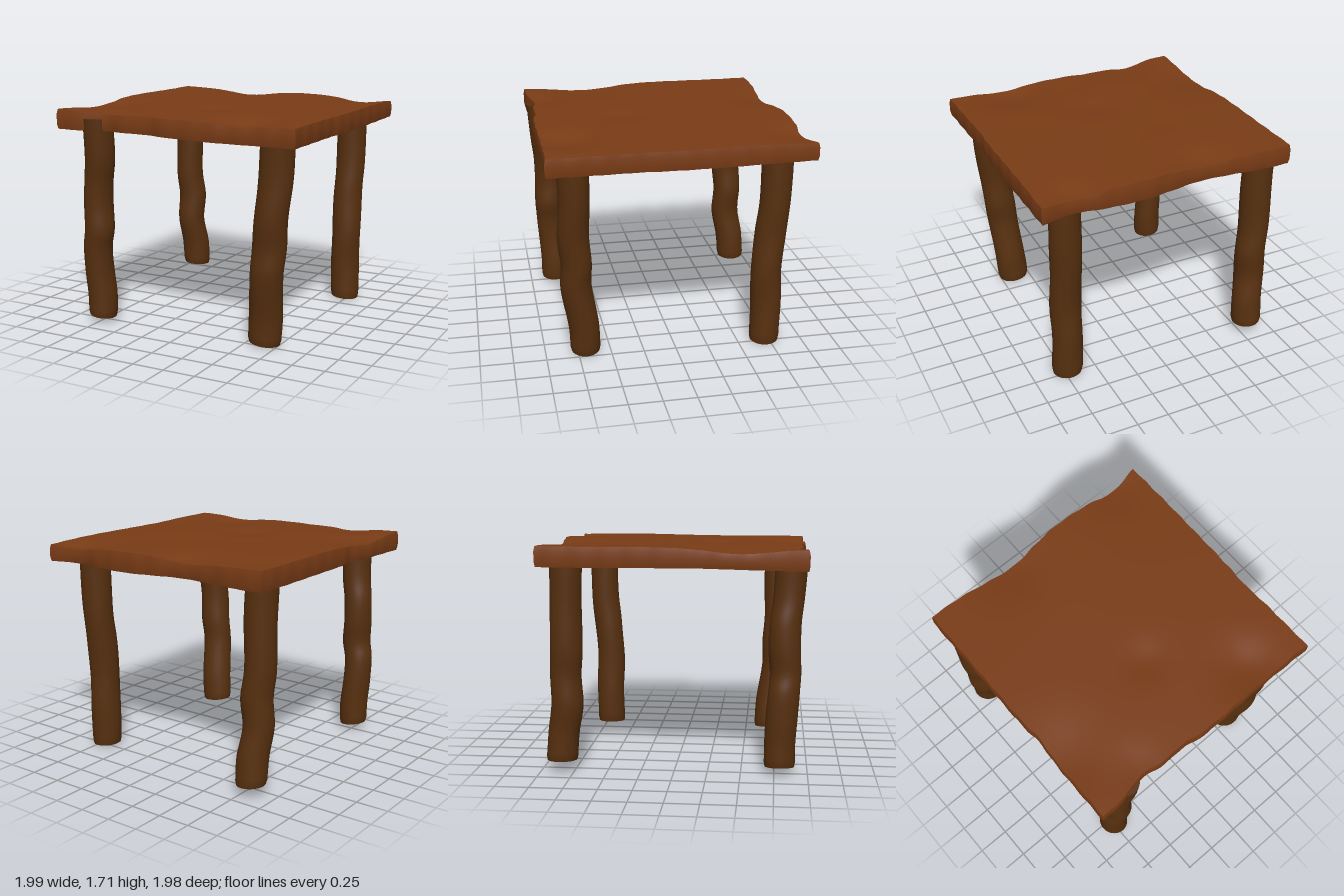
import * as THREE from 'three';
import { toCreasedNormals } from 'three/addons/utils/BufferGeometryUtils.js';

const topMaterial = new THREE.MeshStandardMaterial({ color: 0x7a3c16 });
const legMaterial = new THREE.MeshStandardMaterial({ color: 0x57300f });

// Smooth interpolation through [position, value] pairs
function profile(points) {
  const curve = new THREE.SplineCurve(points.map(([a, b]) => new THREE.Vector2(a, b)));
  const samples = curve.getPoints(120);
  return (a) => {
    const i = Math.max(1, samples.findIndex((p) => p.x >= a - 1e-6));
    const p = samples[i - 1], q = samples[i];
    return THREE.MathUtils.mapLinear(a, p.x, q.x, p.y, q.y);
  };
}

const bump = (x, z, cx, cz, w) => Math.exp(-((x - cx) ** 2 + (z - cz) ** 2) / (w * w));

// Hand-hewn slab: a fine box whose sides follow wavy outlines
function createTop() {
  const front = profile([[-1, 0.985], [-0.8, 0.975], [-0.6, 0.93], [-0.4, 0.955], [-0.2, 0.95],
    [-0.08, 0.975], [0.2, 0.98], [0.5, 0.972], [1, 0.98]]);
  const back = profile([[-1, 0.99], [-0.75, 0.985], [-0.5, 0.96], [-0.25, 0.945], [0, 0.972],
    [0.2, 0.99], [0.5, 0.98], [0.75, 0.952], [1, 0.998]]);
  const left = profile([[-1, 0.995], [0, 0.993], [0.25, 0.975], [0.5, 0.99], [1, 0.992]]);
  const right = profile([[-1, 0.99], [0, 0.99], [0.3, 0.98], [0.6, 0.99], [1, 0.995]]);
  const geo = new THREE.BoxGeometry(2, 2, 2, 56, 4, 56);
  const pos = geo.attributes.position;
  for (let i = 0; i < pos.count; i++) {
    const x = pos.getX(i), h = pos.getY(i), z = pos.getZ(i);
    const under = 1.541 - 0.014 * x - 0.008 * z + 0.004 * Math.sin(5 * x + 3 * z);
    const over = 1.686 - 0.016 * x - 0.01 * z
      + 0.005 * Math.sin(4 * x + 2 * z) * Math.cos(3 * z)
      - 0.045 * bump(x, z, 0.55, 0.85, 0.22)
      - 0.035 * bump(x, z, -0.3, -1, 0.25)
      - 0.03 * bump(x, z, 0.75, -1, 0.2)
      - 0.035 * bump(x, z, -0.95, 0.5, 0.3)
      - 0.02 * bump(x, z, 0, 0.3, 0.15)
      - 0.02 * bump(x, z, -0.6, 0.95, 0.2);
    // Slight rounding of the rims and ragged edges
    const rim = Math.abs(h) > 0.9 ? 0.993 : 1;
    const rough = 1 - 0.003 * (1 + Math.sin(31 * (x + z)));
    pos.setXYZ(i,
      x * (x > 0 ? right(z) : left(z)) * rim * rough,
      THREE.MathUtils.lerp(under, over, (h + 1) / 2),
      z * (z > 0 ? front(x) : back(x)) * rim * rough);
  }
  const mesh = new THREE.Mesh(toCreasedNormals(geo, 0.8), topMaterial);
  mesh.name = 'tableTop';
  return mesh;
}

// Crooked log following a path of [x, y, z] centres from foot to top
function createLeg(name, path, rx, rz, tilt) {
  const curve = new THREE.CatmullRomCurve3(path.map((p) => new THREE.Vector3(...p)));
  const geo = new THREE.CylinderGeometry(1, 1, 1, 28, 40);
  const pos = geo.attributes.position;
  const c = new THREE.Vector3();
  for (let i = 0; i < pos.count; i++) {
    const t = THREE.MathUtils.clamp(pos.getY(i) + 0.5, 0, 1);
    const x = pos.getX(i), z = pos.getZ(i);
    curve.getPoint(t, c);
    const scale = (t < 0.01 ? 0.94 : 1) * (1 + 0.015 * Math.sin(17 * t + 2 * Math.atan2(z, x)));
    pos.setXYZ(i, c.x + x * rx * scale, c.y - tilt * x * (1 - t), c.z + z * rz * scale);
  }
  const mesh = new THREE.Mesh(toCreasedNormals(geo, 0.9), legMaterial);
  mesh.name = name;
  return mesh;
}

export function createModel() {
  const table = new THREE.Group();
  table.name = 'rusticTable';
  table.add(createTop());
  table.add(createLeg('frontLeftLeg', [
    [0.635, 0.015, 0.69], [0.65, 0.22, 0.70], [0.68, 0.57, 0.755], [0.698, 0.75, 0.75],
    [0.718, 0.97, 0.77], [0.75, 1.26, 0.76], [0.77, 1.6, 0.77]], 0.126, 0.117, 0.012));
  table.add(createLeg('frontRightLeg', [
    [-0.742, 0.055, 0.79], [-0.742, 0.22, 0.79], [-0.757, 0.42, 0.80], [-0.757, 0.62, 0.815],
    [-0.73, 0.76, 0.825], [-0.74, 0.94, 0.815], [-0.73, 1.14, 0.82], [-0.70, 1.31, 0.84],
    [-0.697, 1.63, 0.862]], 0.112, 0.117, 0.014));
  table.add(createLeg('backRightLeg', [
    [-0.816, 0.09, -0.842], [-0.82, 0.3, -0.825], [-0.843, 0.52, -0.79], [-0.833, 0.74, -0.80],
    [-0.853, 0.94, -0.788], [-0.85, 1.3, -0.787], [-0.86, 1.6, -0.78]], 0.118, 0.118, 0.008));
  table.add(createLeg('backLeftLeg', [
    [0.717, 0.01, -0.713], [0.712, 0.33, -0.72], [0.72, 0.6, -0.712], [0.718, 0.9, -0.735],
    [0.725, 1.15, -0.76], [0.73, 1.6, -0.768]], 0.118, 0.118, 0.008));
  return table;
}
